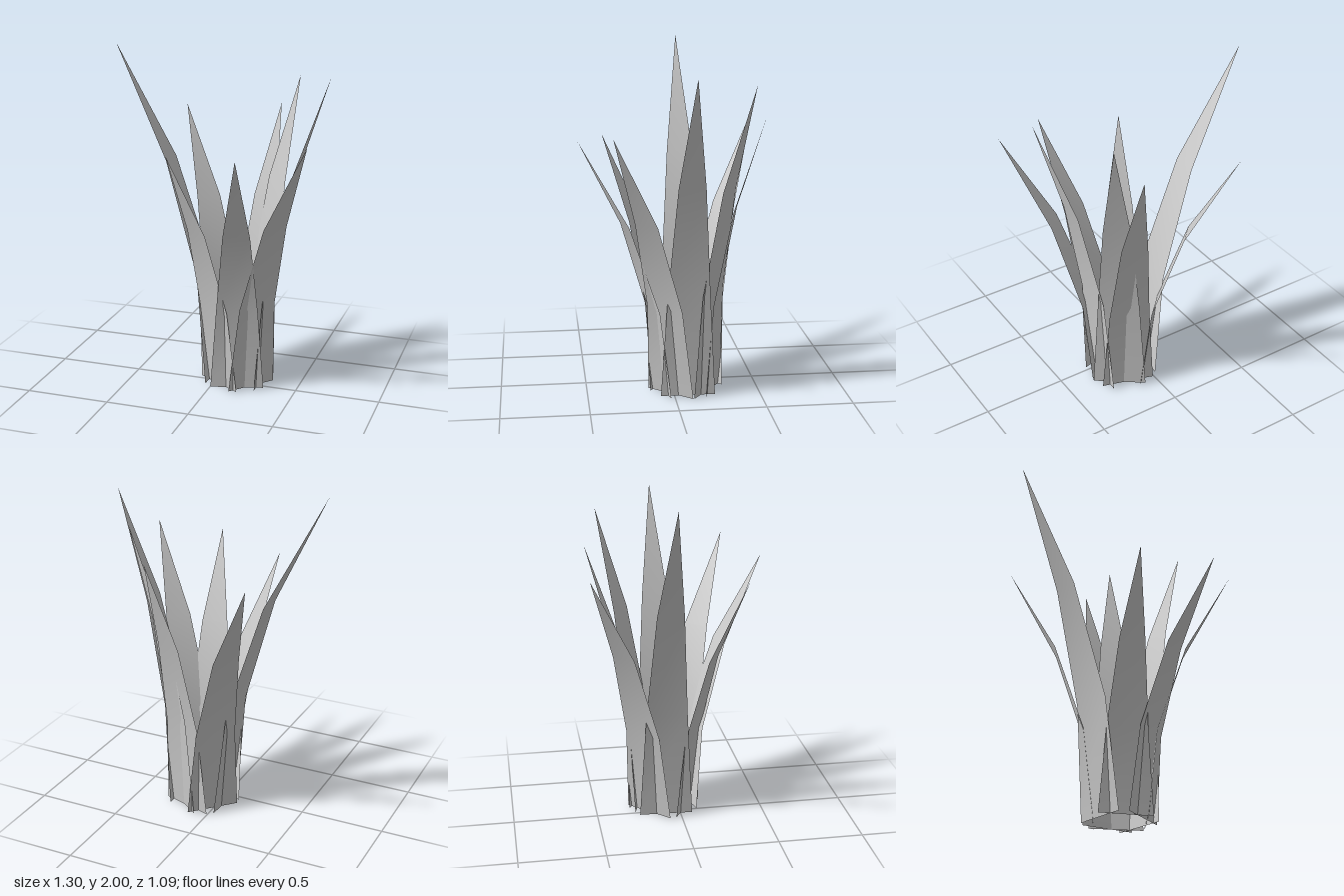
import * as THREE from 'three';

const CENTRE = { x: 0.115, z: -0.08 };
const BASE_RADIUS = 0.15;
const HALF_WIDTHS = [0.158, 0.121, 0.077]; // at the base, one third and two thirds

// Tip of each blade: x, height, z
const TIPS = [
  [-0.65, 2.0, -0.113],
  [-0.365, 1.57, -0.545],
  [0.245, 1.62, -0.52],
  [0.38, 1.81, -0.44],
  [0.65, 1.88, -0.077],
  [0.63, 1.57, 0.365],
  [0.285, 1.51, 0.54],
  [-0.165, 1.47, 0.378],
];

// Tapered strip that bends outwards with the square of its height
function bladeGeometry([tipX, height, tipZ]) {
  const dx = tipX - CENTRE.x, dz = tipZ - CENTRE.z;
  const reach = Math.hypot(dx, dz);
  const ux = dx / reach, uz = dz / reach;
  const positions = [];
  HALF_WIDTHS.forEach((w, i) => {
    const t = i / 3;
    const r = BASE_RADIUS + (reach - BASE_RADIUS) * t * t;
    for (const side of [-1, 1]) {
      positions.push(
        CENTRE.x + ux * r + uz * w * side,
        height * t,
        CENTRE.z + uz * r - ux * w * side
      );
    }
  });
  positions.push(tipX, height, tipZ);

  const geometry = new THREE.BufferGeometry();
  geometry.setAttribute('position', new THREE.Float32BufferAttribute(positions, 3));
  geometry.setIndex([0, 1, 3, 0, 3, 2, 2, 3, 5, 2, 5, 4, 4, 5, 6]);
  geometry.computeVertexNormals();
  return geometry;
}

export function createModel() {
  const group = new THREE.Group();
  group.name = 'grassTuft';
  const grey = new THREE.MeshStandardMaterial({ color: 0xcccccc, side: THREE.DoubleSide });
  grey.name = 'light grey';

  // Ring of leaf blades
  TIPS.forEach((tip, i) => {
    const blade = new THREE.Mesh(bladeGeometry(tip), grey);
    blade.name = `blade${i + 1}`;
    group.add(blade);
  });
  return group;
}
